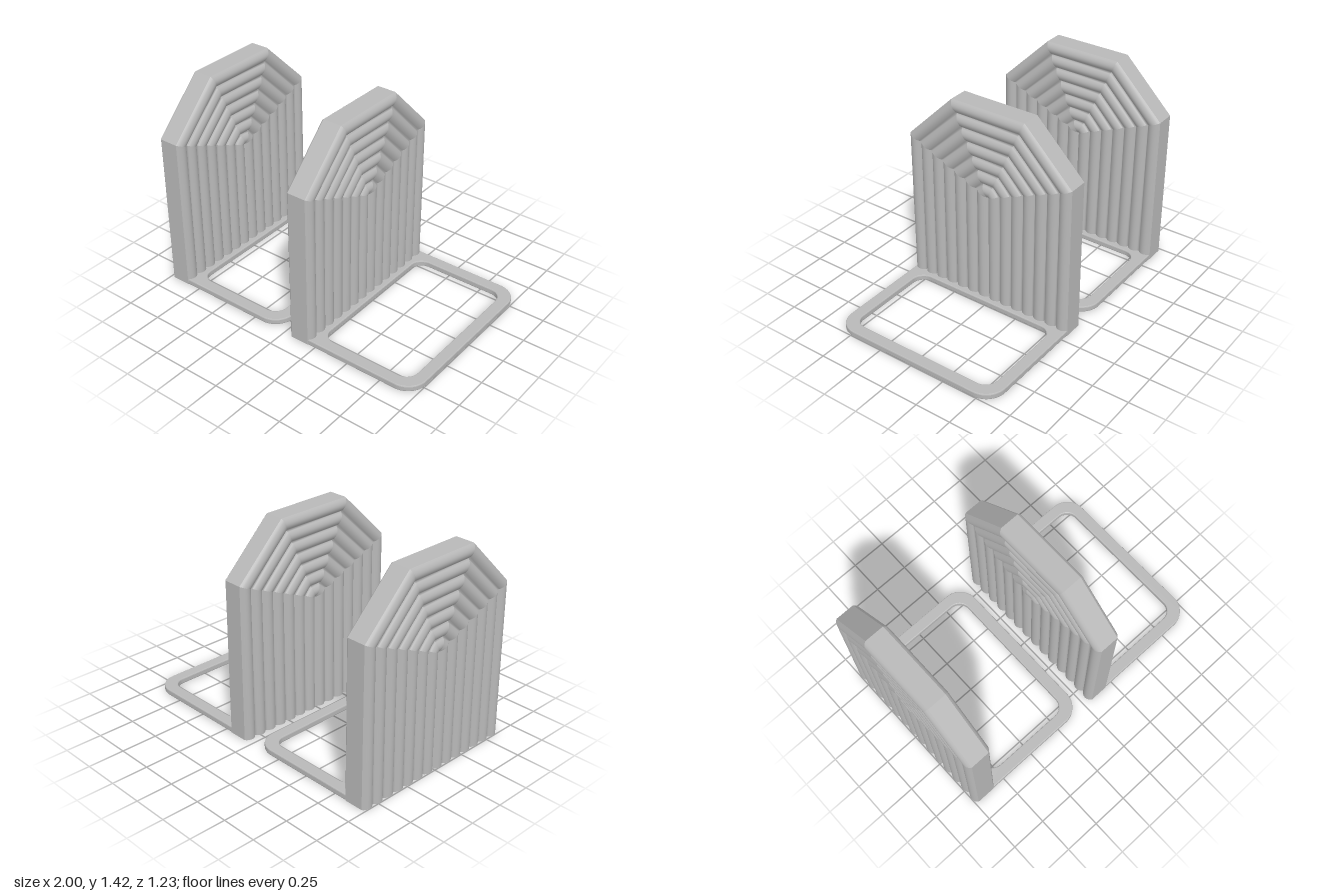
import * as THREE from 'three';
import { mergeGeometries } from 'three/addons/utils/BufferGeometryUtils.js';

const HALF_DEPTH = 0.617;  // half extent in z
const HALF_THICK = 0.09;   // half panel thickness, to the ridge tops
const FLUTE = 0.025;       // groove depth
const RINGS = 7;
const STEPS = RINGS * 10;
const APEX_Y = 0.81;

// Panel outline as [z, y], from the front foot over the top to the back foot
const OUTLINE = [
  [HALF_DEPTH, 0], [HALF_DEPTH, 1.077], [0.272, 1.42],
  [-0.272, 1.42], [-HALF_DEPTH, 1.077], [-HALF_DEPTH, 0],
];

// Outline corner shrunk towards the apex; the feet stay on the ground
function corner(i, t) {
  const [z, y] = OUTLINE[i];
  return [z * (1 - t), y === 0 ? 0 : THREE.MathUtils.lerp(y, APEX_Y, t)];
}

// Rounded ridges with narrow grooves between them
function ridge(t) {
  const s = Math.abs(Math.sin(Math.PI * RINGS * t));
  return HALF_THICK - FLUTE + FLUTE * Math.pow(s < 1e-6 ? 0 : s, 0.75);
}

// Smooth grid surface from point(u, v)
function patch(point, nu, nv, flip = false) {
  const positions = [];
  const index = [];
  for (let j = 0; j <= nv; j++) {
    for (let i = 0; i <= nu; i++) positions.push(...point(i / nu, j / nv));
  }
  for (let j = 0; j < nv; j++) {
    for (let i = 0; i < nu; i++) {
      const a = j * (nu + 1) + i, b = a + 1, c = a + nu + 1, d = c + 1;
      if (flip) index.push(a, d, b, a, c, d);
      else index.push(a, b, d, a, d, c);
    }
  }
  const geometry = new THREE.BufferGeometry();
  geometry.setAttribute('position', new THREE.Float32BufferAttribute(positions, 3));
  geometry.setIndex(index);
  geometry.computeVertexNormals();
  return geometry;
}

// Concentric fluting on one face of the panel, one patch per outline edge
function flutedFace(side) {
  const parts = [];
  for (let i = 0; i < OUTLINE.length - 1; i++) {
    parts.push(patch((u, v) => {
      const [z0, y0] = corner(i, v);
      const [z1, y1] = corner(i + 1, v);
      return [side * ridge(v), y0 + (y1 - y0) * u, z0 + (z1 - z0) * u];
    }, 1, STEPS, side > 0));
  }
  return mergeGeometries(parts);
}

// Flat edge around the panel
function panelRim() {
  const x = HALF_THICK - FLUTE;
  const parts = [];
  for (let i = 0; i < OUTLINE.length - 1; i++) {
    const [z0, y0] = OUTLINE[i];
    const [z1, y1] = OUTLINE[i + 1];
    parts.push(patch((u, v) => [x - 2 * x * v, y0 + (y1 - y0) * u, z0 + (z1 - z0) * u], 1, 1));
  }
  return mergeGeometries(parts);
}

// Scalloped underside of the panel
function panelFoot() {
  return patch((u, v) => {
    const z = HALF_DEPTH * (1 - 2 * u);
    const x = ridge(1 - Math.abs(1 - 2 * u));
    return [x * (2 * v - 1), 0, z];
  }, STEPS * 2, 1);
}

// Rectangle path with separate corner radii at the near and far ends
function roundedRect(path, x0, x1, h, near, far) {
  path.moveTo(x0 + near, -h);
  path.lineTo(x1 - far, -h);
  path.absarc(x1 - far, -h + far, far, -Math.PI / 2, 0);
  path.lineTo(x1, h - far);
  path.absarc(x1 - far, h - far, far, 0, Math.PI / 2);
  path.lineTo(x0 + near, h);
  if (near > 0) path.absarc(x0 + near, h - near, near, Math.PI / 2, Math.PI);
  path.lineTo(x0, -h + near);
  if (near > 0) path.absarc(x0 + near, -h + near, near, Math.PI, Math.PI * 1.5);
  return path;
}

// Open base frame with softened edges
function baseFrame() {
  const bevel = 0.007;
  const shape = roundedRect(new THREE.Shape(), 0.09, 0.96, HALF_DEPTH - 0.001, 0, 0.14);
  shape.holes.push(roundedRect(new THREE.Path(), 0.212, 0.878, 0.535, 0.085, 0.085));
  const geometry = new THREE.ExtrudeGeometry(shape, {
    depth: 0.04 - 2 * bevel, curveSegments: 14,
    bevelEnabled: true, bevelThickness: bevel, bevelSize: bevel, bevelOffset: -bevel, bevelSegments: 2,
  });
  geometry.rotateX(-Math.PI / 2);
  geometry.translate(0, bevel, 0);
  return geometry;
}

export function createModel() {
  const grey = new THREE.MeshStandardMaterial({ color: 0xb8b8b8 });
  grey.name = 'grey';

  const parts = {
    innerFlutedFace: flutedFace(1),
    outerFlutedFace: flutedFace(-1),
    panelRim: panelRim(),
    panelFoot: panelFoot(),
  };
  const frame = baseFrame();

  const model = new THREE.Group();
  model.name = 'bookends';
  for (const [name, x] of [['rightBookend', -1], ['leftBookend', 0.04]]) {
    const bookend = new THREE.Group();
    bookend.name = name;
    bookend.position.x = x;

    const panel = new THREE.Group();
    panel.name = 'uprightPanel';
    panel.position.x = HALF_THICK;
    for (const [partName, geometry] of Object.entries(parts)) {
      const mesh = new THREE.Mesh(geometry, grey);
      mesh.name = partName;
      panel.add(mesh);
    }

    const base = new THREE.Mesh(frame, grey);
    base.name = 'baseFrame';
    bookend.add(panel, base);
    model.add(bookend);
  }
  return model;
}
